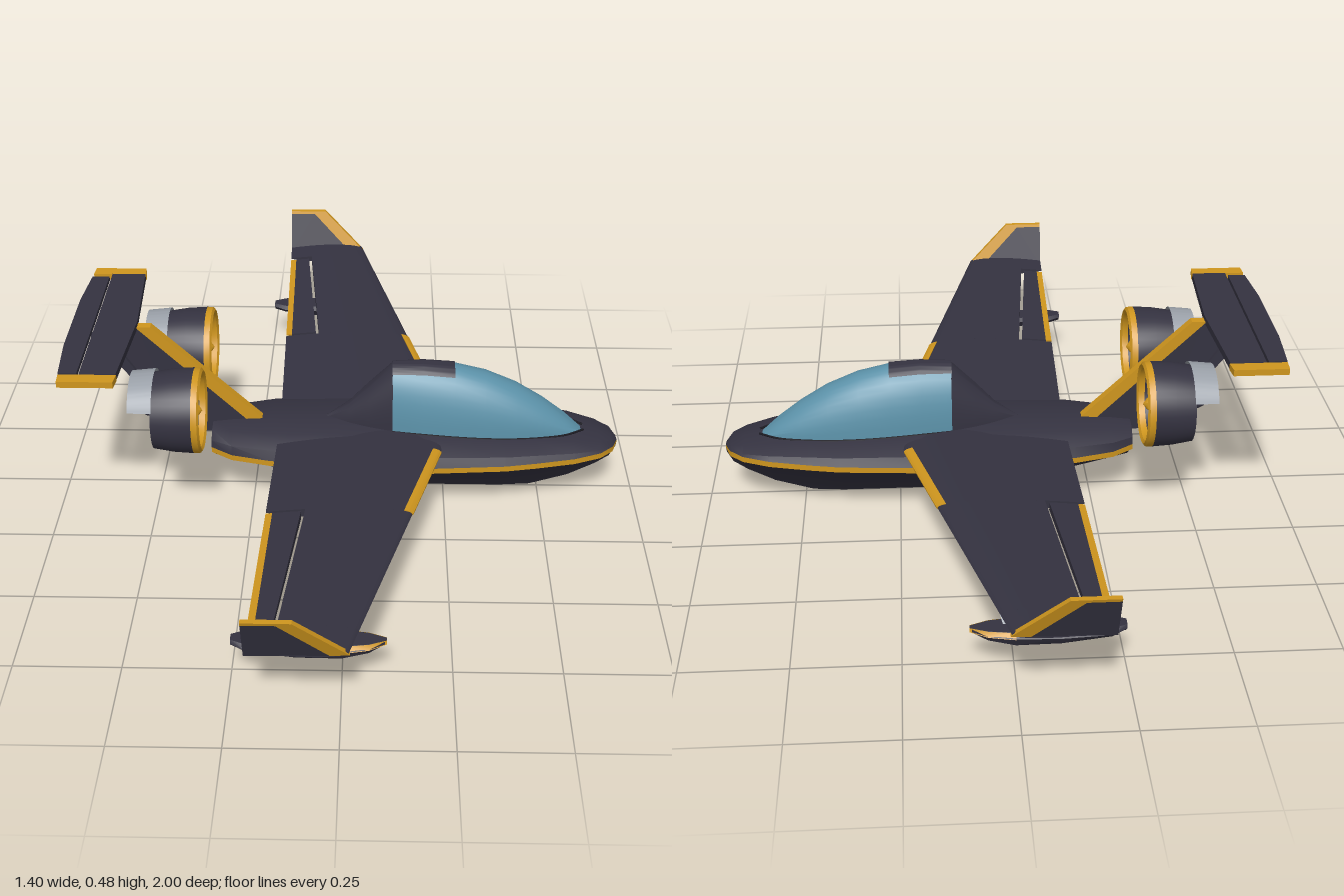
import * as THREE from 'three';
import { toCreasedNormals } from 'three/addons/utils/BufferGeometryUtils.js';

const paint = (name, color) => {
  const m = new THREE.MeshStandardMaterial({ color, side: THREE.DoubleSide });
  m.name = name;
  return m;
};

export function createModel() {
  const model = new THREE.Group();
  model.name = 'twinFanSeaplane';
  const dark = paint('charcoal', 0x343240);
  const yellow = paint('amberTrim', 0xcf961e);
  const glass = paint('canopyGlass', 0x5b91a8);
  const grey = paint('greyMetal', 0x9aa0a8);
  const shade = paint('blackSeal', 0x1c1b22);

  const add = (name, geo, mat, parent = model) => {
    const mesh = new THREE.Mesh(geo, mat);
    mesh.name = name;
    parent.add(mesh);
    return mesh;
  };

  // Skin over equal-length cross-sections; closed rings get end caps
  const loft = (sections, closed = true, crease = 0.6) => {
    const n = sections[0].length, pos = sections.flat(2), idx = [];
    const span = closed ? n : n - 1;
    for (let s = 0; s < sections.length - 1; s++) {
      for (let i = 0; i < span; i++) {
        const a = s * n + i, b = s * n + (i + 1) % n;
        idx.push(a, b, a + n, b, b + n, a + n);
      }
    }
    if (closed) {
      [0, sections.length - 1].forEach((s, end) => {
        const c = [0, 1, 2].map(k => sections[s].reduce((t, p) => t + p[k], 0) / n);
        const ci = pos.length / 3;
        pos.push(...c);
        for (let i = 0; i < n; i++) {
          const a = s * n + i, b = s * n + (i + 1) % n;
          if (end) idx.push(ci, a, b); else idx.push(ci, b, a);
        }
      });
    }
    const g = new THREE.BufferGeometry();
    g.setAttribute('position', new THREE.Float32BufferAttribute(pos, 3));
    g.setIndex(idx);
    return toCreasedNormals(g, crease);
  };

  // Flat plate from an x-y outline, centred on z = 0
  const plate = (pts, depth) => new THREE.ExtrudeGeometry(
    new THREE.Shape(pts.map(p => new THREE.Vector2(...p))), { depth, bevelEnabled: false }
  ).translate(0, 0, -depth / 2);

  // Hull stations: x, keel height, half width, deck height
  const stations = [
    [-0.355, 0.09, 0.075, 0.2], [-0.3, 0.075, 0.112, 0.207], [-0.2, 0.05, 0.137, 0.213],
    [-0.03, 0.013, 0.15, 0.216], [-0.015, 0.003, 0.152, 0.216], [0.2, 0.002, 0.165, 0.214],
    [0.4, 0.002, 0.15, 0.204], [0.48, 0.007, 0.135, 0.2], [0.58, 0.038, 0.112, 0.19],
    [0.65, 0.075, 0.083, 0.178], [0.685, 0.1, 0.05, 0.167], [0.7, 0.13, 0.008, 0.155]];
  const half = ([x, k, w, d]) => {
    const c = 0.145, h = c - k, u = d - c;
    return [[x, k, 0], [x, k + 0.22 * h, 0.17 * w], [x, k + 0.62 * h, 0.53 * w], [x, c, w],
      [x, Math.min(c + 0.015, d), w], [x, c + 0.6 * u, 0.93 * w], [x, c + 0.92 * u, 0.6 * w], [x, d, 0]];
  };
  const flip = pts => pts.map(([x, y, z]) => [x, y, -z]);
  const halves = stations.map(half);
  add('hullBottom', loft(halves.map(h => [...flip(h.slice(1, 4)).reverse(), ...h.slice(0, 4)]), false), dark);
  add('hullDeck', loft(halves.map(h => [...h.slice(4), ...flip(h.slice(4, 7)).reverse()]), false), dark);
  for (const s of [1, -1]) {
    add('chineStripe', loft(halves.map(h => h.slice(3, 5)), false), yellow).scale.z = s;
  }
  const t = halves[0];
  add('transom', plate([...t, ...flip(t).reverse()].map(p => [p[2], p[1]]), 0.002)
    .rotateY(Math.PI / 2).translate(-0.354, 0, 0), dark);

  // Canopy arches: x, top height, half width
  const arch = ([x, top, w], a0 = 0, a1 = Math.PI, pad = 0) => {
    const base = 0.19 - 0.01 * Math.max(0, (x - 0.4) * 5), pts = [];
    for (let i = 0; i <= 20; i++) {
      const a = a0 + (a1 - a0) * i / 20;
      pts.push([x, base + pad + (top - base) * Math.pow(Math.max(0, Math.sin(a)), 0.8), (w + pad) * Math.cos(a)]);
    }
    return pts;
  };
  const glassRows = [[0.11, 0.373, 0.068], [0.19, 0.376, 0.08], [0.27, 0.37, 0.085], [0.35, 0.35, 0.085],
    [0.43, 0.315, 0.078], [0.5, 0.271, 0.064], [0.56, 0.225, 0.045], [0.61, 0.18, 0.012]];
  add('canopy', loft(glassRows.map(r => arch(r)), false, 1), glass);
  add('canopyRoofPanel', loft(glassRows.slice(0, 3).map(r => arch(r, 1.08, 2.06, 0.003)), false, 1), dark);
  add('canopyFairing', loft([[0.112, 0.374, 0.069], [0.05, 0.312, 0.052], [0, 0.258, 0.034], [-0.06, 0.216, 0.004]]
    .map(r => arch(r)), false, 1), dark);
  for (const s of [1, -1]) {
    const rail = new THREE.CatmullRomCurve3(glassRows.map(([x, , w]) =>
      new THREE.Vector3(x, 0.209 - 0.05 * Math.max(0, x - 0.2), s * (w + 0.001))));
    add('canopySeal', new THREE.TubeGeometry(rail, 30, 0.003, 5), shade);
  }

  // Wing rules: leading edge, trailing edge, airfoil ring between two x positions
  const le = z => 0.23 - (z - 0.16) * 0.2625;
  const te = z => -0.18 - 0.021 * z;
  const airfoil = (z, xa, xb, pad = 0) => {
    const up = [], low = [], thick = 0.042 - 0.02 * z, mid = 0.187 + 0.052 * z;
    for (let i = 0; i <= 14; i++) {
      const x = xa + (xb - xa) * (i / 14) ** 1.6;
      const u = Math.min(1, Math.max(0, (le(z) - x) / (le(z) - te(z))));
      const h = thick / 2 * (2.6 * Math.sqrt(u) * (1 - u) + 0.1 * u) + pad;
      up.push([x + (i ? 0 : pad), mid + h, z]);
      low.unshift([x + (i ? 0 : pad), mid - h, z]);
    }
    return [...up, ...low];
  };
  const panel = (z0, z1, a, b, pad) => loft([z0, z1].map(z => airfoil(z, a(z), b(z), pad)), true, 0.5);
  const cut = z => -0.095 - (z - 0.43) * 0.088;
  const flapFront = z => cut(z) - 0.009;
  const flapTrim = z => te(z) + 0.016;

  const sideParts = s => {
    const g = new THREE.Group();
    g.name = s > 0 ? 'rightWing' : 'leftWing';
    g.scale.z = s;
    model.add(g);
    add('innerWing', panel(0, 0.43, le, te), dark, g);
    add('midWing', panel(0.43, 0.885, le, cut), dark, g);
    add('outerWing', panel(0.885, 0.962, le, te), dark, g);
    add('flap', panel(0.438, 0.872, flapFront, flapTrim), dark, g);
    add('flapTrim', panel(0.438, 0.872, flapTrim, te), yellow, g);
    add('leadingEdgeTrim', panel(0.14, 0.43, le, z => le(z) - 0.02, 0.002), yellow, g);

    // Canted winglet
    const winglet = (name, pts, d, mat) => {
      const geo = plate(pts, d), p = geo.attributes.position;
      for (let i = 0; i < p.count; i++) p.setZ(i, p.getZ(i) + 0.958 + (p.getY(i) - 0.235) * 0.34);
      geo.computeVertexNormals();
      add(name, geo, mat, g);
    };
    winglet('winglet', [[-0.2, 0.225], [-0.02, 0.23], [-0.128, 0.338], [-0.2, 0.338]], 0.012, dark);
    winglet('wingletTrim', [[-0.02, 0.23], [0.022, 0.233], [-0.095, 0.346], [-0.2, 0.346], [-0.2, 0.338], [-0.128, 0.338]], 0.013, yellow);

    // Outrigger float: x, half width, bottom
    const rows = [[-0.245, 0.014, 0.108], [-0.21, 0.036, 0.1], [-0.1, 0.043, 0.09], [0, 0.04, 0.087], [0.06, 0.028, 0.096], [0.1, 0.006, 0.118]];
    const zf = 0.79;
    add('float', loft(rows.map(([x, w, b]) => [[x, b, zf], [x, b + 0.012, zf + w * 0.75], [x, 0.122, zf + w],
      [x, 0.131, zf + w * 0.7], [x, 0.131, zf - w * 0.7], [x, 0.122, zf - w], [x, b + 0.012, zf - w * 0.75]])), dark, g);
    for (const e of [1, -1]) {
      add('floatTrim', loft(rows.slice(3).map(([x, w]) => [[x, 0.121, zf + e * (w + 0.001)],
        [x, 0.131, zf + e * (w * 0.7 + 0.001)]]), false), yellow, g);
    }
    // N-shaped struts: foot x, head x
    for (const [x0, x1] of [[-0.1, -0.09], [-0.09, 0.03], [0.015, 0.045]]) {
      const ring = (x, y, z) => [[-0.013, -0.017, -0.04], [0.013, -0.017, -0.04], [0.013, 0.02, 0.035], [-0.013, 0.02, 0.035]]
        .map(([a, b, c]) => [x + a, y + b, z + c]);
      add('floatStrut', loft([ring(x0, 0.128, 0.772), ring(x1, 0.194, 0.68)]), grey, g);
    }

    // Ducted fan
    const fan = new THREE.Group();
    fan.name = 'ductedFan';
    fan.position.set(-0.48, 0.325, 0.16);
    g.add(fan);
    const lathe = (name, pts, mat, a0 = 0, len = Math.PI * 2) => {
      const geo = new THREE.LatheGeometry(pts.map(p => new THREE.Vector2(...p)), 40, a0, len);
      add(name, toCreasedNormals(geo.rotateZ(-Math.PI / 2), 0.6), mat, fan);
    };
    lathe('duct', [[0.089, 0.1], [0.09, 0.05], [0.088, 0], [0.096, 0], [0.104, 0.05], [0.107, 0.1]], dark);
    lathe('ductLip', [[0.089, 0.1], [0.092, 0.115], [0.099, 0.12], [0.106, 0.115], [0.107, 0.1]], yellow);
    lathe('hub', [[0, -0.05], [0.014, -0.02], [0.024, 0.02], [0.024, 0.075]], dark);
    lathe('spinner', [[0.024, 0.075], [0.022, 0.09], [0.014, 0.108], [0, 0.118]], yellow);
    // Upper thrust deflector arc
    lathe('deflector', [[0.09, 0.004], [0.092, -0.055], [0.098, -0.055], [0.104, 0.004]], grey, -Math.PI / 2 - 1.12, 2.24);
    for (let i = 0; i < 9; i++) {
      const blade = new THREE.BoxGeometry(0.004, 0.07, 0.024).rotateY(0.75).translate(0.07, 0.055, 0);
      add('fanBlade', blade.rotateX(i * Math.PI * 2 / 9), grey, fan);
    }
    for (let i = 0; i < 5; i++) {
      const vane = new THREE.BoxGeometry(0.035, 0.07, 0.005).translate(0.025, 0.055, 0);
      add('stator', vane.rotateX(i * Math.PI * 2 / 5), dark, fan);
    }
    add('fanPylon', new THREE.BoxGeometry(0.08, 0.014, 0.07).translate(-0.43, 0.325, 0.035), dark, g);
  };
  sideParts(1);
  sideParts(-1);

  // Swept fin and rudder
  add('fin', plate([[-0.255, 0.2], [-0.355, 0.17], [-0.42, 0.17], [-0.445, 0.205], [-0.625, 0.476], [-0.535, 0.476]], 0.022), dark);
  add('finTrim', plate([[-0.22, 0.205], [-0.26, 0.2], [-0.54, 0.476], [-0.502, 0.476]], 0.024), yellow);
  add('rudder', plate([[-0.453, 0.208], [-0.472, 0.212], [-0.658, 0.452], [-0.618, 0.452]], 0.014), dark);

  // T-tail stabiliser, elevator and tips
  const slab = (name, pts, d, mat) => add(name, plate(pts, d).rotateX(Math.PI / 2).translate(0, 0.478, 0), mat);
  slab('stabiliser', [[-0.535, 0], [-0.55, 0.265], [-0.638, 0.265], [-0.638, -0.265], [-0.55, -0.265]], 0.018, dark);
  slab('elevator', [[-0.645, 0.255], [-0.69, 0.255], [-0.7, 0.12], [-0.7, -0.12], [-0.69, -0.255], [-0.645, -0.255]], 0.012, dark);
  for (const s of [1, -1]) {
    slab('stabiliserTip', [[-0.548, s * 0.265], [-0.552, s * 0.3], [-0.686, s * 0.3], [-0.688, s * 0.265]], 0.016, yellow);
  }
  return model;
}
